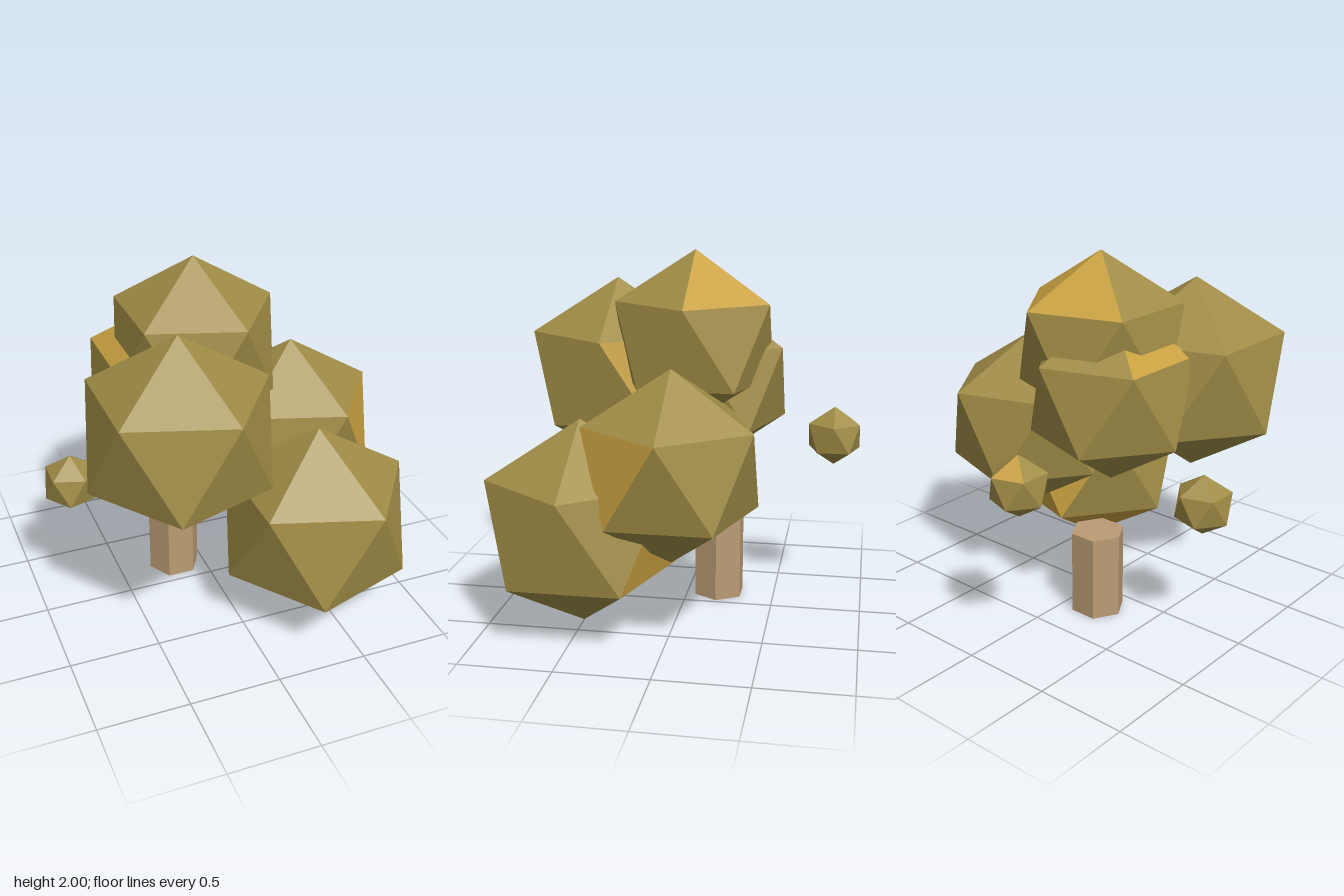
import * as THREE from 'three';

const leafOlive = new THREE.MeshStandardMaterial({ color: 0xa08c46, flatShading: true });
const leafGold = new THREE.MeshStandardMaterial({ color: 0xc8a040, flatShading: true });
const barkTan = new THREE.MeshStandardMaterial({ color: 0xbb9c74, flatShading: true });
leafOlive.name = 'leafOlive';
leafGold.name = 'leafGold';
barkTan.name = 'barkTan';

// Upright icosahedron: two poles and two rings of five corners.
// Faces are named top0-4, down0-4, up0-4 and bottom0-4, so some can be gold.
function leafGeometry(radius, goldFaces) {
  const ringRadius = radius * 2 / Math.sqrt(5);
  const ringHeight = radius / Math.sqrt(5);
  const corner = (step, y) => {
    const a = step * Math.PI * 2 / 5;
    return [ringRadius * Math.cos(a), y, ringRadius * Math.sin(a)];
  };
  const upper = (k) => corner(k, ringHeight);
  const lower = (k) => corner(k + 0.5, -ringHeight);
  const top = [0, radius, 0];
  const bottom = [0, -radius, 0];

  const positions = [];
  const geometry = new THREE.BufferGeometry();
  for (let k = 0; k < 5; k++) {
    const faces = {
      top: [top, upper(k + 1), upper(k)],
      down: [upper(k), upper(k + 1), lower(k)],
      up: [upper(k), lower(k), lower(k - 1)],
      bottom: [bottom, lower(k), lower(k + 1)],
    };
    for (const [row, corners] of Object.entries(faces)) {
      geometry.addGroup(positions.length / 3, 3, goldFaces.includes(row + k) ? 1 : 0);
      positions.push(...corners.flat());
    }
  }
  geometry.setAttribute('position', new THREE.Float32BufferAttribute(positions, 3));
  geometry.computeVertexNormals();
  return geometry;
}

// Name, centre, radius and gold faces of each foliage clump
const clumps = [
  ['frontRightFoliage', [-0.342, 1.266, 0.44], 0.545, ['down4']],
  ['crownFoliage', [-0.08, 1.508, -0.05], 0.492, ['top3', 'top4']],
  ['leftFoliage', [0.473, 0.932, -0.01], 0.52, ['down0']],
  ['frontLeftFoliage', [0.423, 0.595, 0.483], 0.565, ['top3', 'down3', 'up4', 'bottom2']],
  ['backFoliage', [-0.21, 1.26, -0.12], 0.482, ['top2']],
  ['smallSideLeaf', [-0.79, 0.777, -0.075], 0.166, ['down4']],
  ['smallBackLeaf', [-0.2, 0.965, -0.82], 0.166, ['top3']],
  ['smallInnerLeaf', [-0.135, 0.955, 0.385], 0.166, []],
];

export function createModel() {
  const group = new THREE.Group();
  group.name = 'tree';

  // Six-sided trunk
  const trunk = new THREE.Mesh(new THREE.CylinderGeometry(0.15, 0.15, 0.475, 6), barkTan);
  trunk.name = 'trunk';
  trunk.rotation.y = Math.PI / 6;
  trunk.position.set(-0.17, 0.2375, -0.18);
  group.add(trunk);

  // Foliage clumps
  for (const [name, centre, radius, goldFaces] of clumps) {
    const clump = new THREE.Mesh(leafGeometry(radius, goldFaces), [leafOlive, leafGold]);
    clump.name = name;
    clump.position.set(...centre);
    group.add(clump);
  }
  return group;
}
